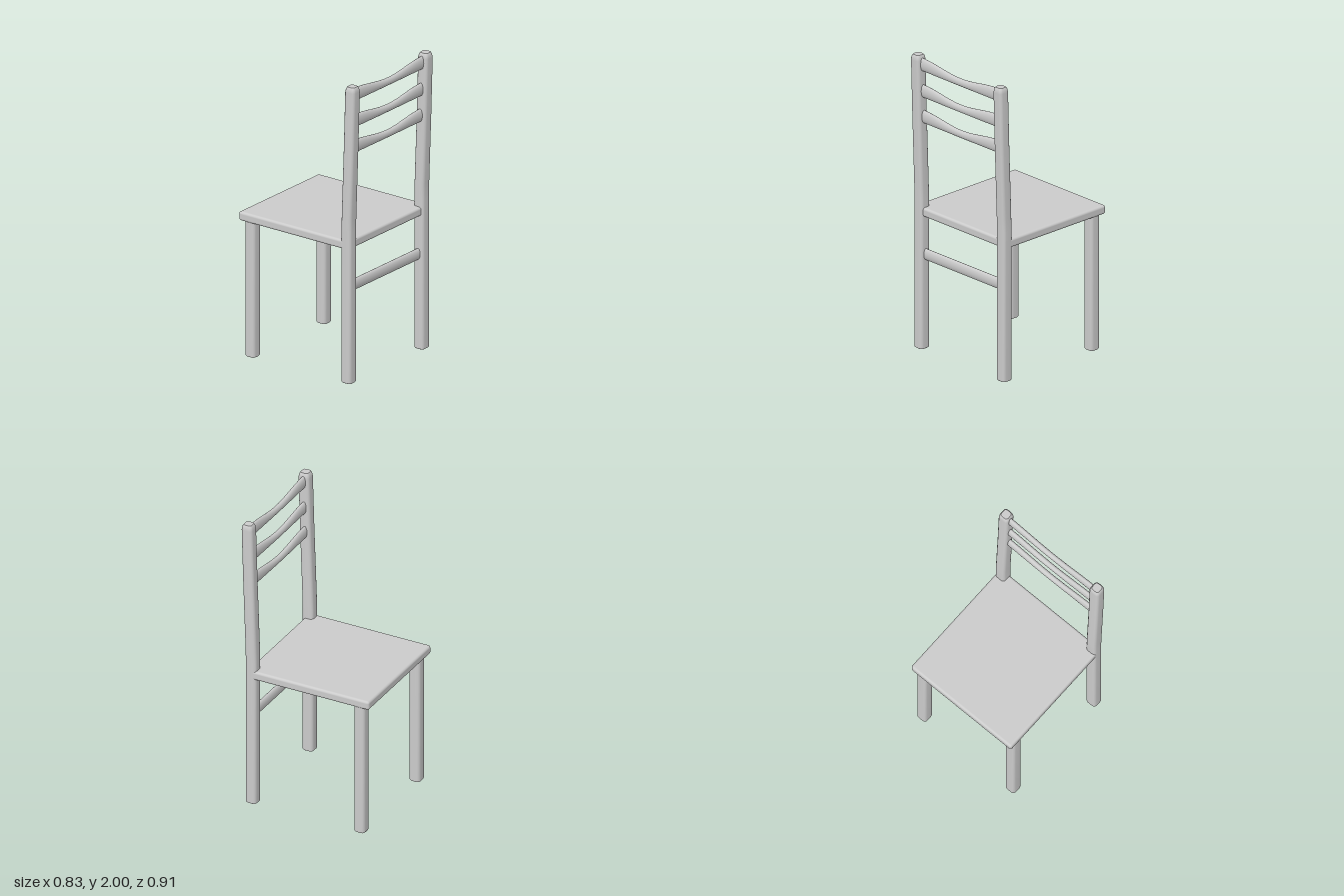
import * as THREE from 'three';
import { RoundedBoxGeometry } from 'three/addons/geometries/RoundedBoxGeometry.js';

// Skin a list of rings (arrays of Vector3) and close both ends with flat caps.
function loft(rings) {
  const n = rings[0].length, pos = [], idx = [];
  const add = (p) => { pos.push(p.x, p.y, p.z); return pos.length / 3 - 1; };
  rings.forEach((ring) => ring.forEach(add));
  for (let r = 0; r < rings.length - 1; r++) {
    for (let i = 0; i < n; i++) {
      const a = r * n + i, b = r * n + (i + 1) % n;
      idx.push(a, b, b + n, a, b + n, a + n);
    }
  }
  for (const [ring, isEnd] of [[rings[0], false], [rings.at(-1), true]]) {
    const mid = new THREE.Vector3();
    ring.forEach((p) => mid.addScaledVector(p, 1 / n));
    const c = add(mid), first = ring.map(add)[0];
    for (let i = 0; i < n; i++) {
      const a = first + i, b = first + (i + 1) % n;
      if (isEnd) idx.push(c, a, b); else idx.push(c, b, a);
    }
  }
  const geo = new THREE.BufferGeometry();
  geo.setAttribute('position', new THREE.Float32BufferAttribute(pos, 3));
  geo.setIndex(idx);
  geo.computeVertexNormals();
  return geo;
}

// Upright of rounded square section; each station is [y, z, width].
function upright(x, stations) {
  return loft(stations.map(([y, z, w]) => {
    const ring = [], r = w * 0.27, k = w / 2 - r;
    for (let q = 0; q < 4; q++) {
      const sx = q === 0 || q === 3 ? 1 : -1, sz = q < 2 ? 1 : -1;
      for (let s = 0; s <= 3; s++) {
        const a = (q + s / 3) * Math.PI / 2;
        ring.push(new THREE.Vector3(x + sx * k + r * Math.cos(a), y, z - sz * k - r * Math.sin(a)));
      }
    }
    return ring;
  }));
}

// Crossbar of oval section, flat along the bottom, its top dipping towards the middle.
function crossbar(bottom, endHeight, midHeight, z, depth) {
  const rings = [], half = 0.35, steps = 24;
  for (let i = 0; i <= steps; i++) {
    const t = i / steps * 2 - 1;
    const dip = 0.5 + 0.5 * Math.cos(Math.PI * t);
    const h = THREE.MathUtils.lerp(endHeight, midHeight, dip);
    const ring = [];
    for (let j = 0; j < 20; j++) {
      const a = j / 20 * Math.PI * 2;
      ring.push(new THREE.Vector3(t * half, bottom + h / 2 * (1 + Math.cos(a)), z + depth / 2 * Math.sin(a)));
    }
    rings.push(ring);
  }
  return loft(rings);
}

export function createModel() {
  const chair = new THREE.Group();
  chair.name = 'chair';
  const material = new THREE.MeshStandardMaterial({ color: 0xcccccc });
  const add = (name, geo) => {
    const mesh = new THREE.Mesh(geo, material);
    mesh.name = name;
    chair.add(mesh);
    return mesh;
  };

  // Seat board
  add('seat', new RoundedBoxGeometry(0.826, 0.06, 0.865, 3, 0.016)).position.set(0, 0.935, -0.0225);

  // Back posts lean above the seat and have chamfered tops
  for (const [side, s] of [['left', 1], ['right', -1]]) {
    add(side + 'BackPost', upright(s * 0.375, [
      [0.008, 0.387, 0.066], [0.014, 0.387, 0.077], [1.02, 0.387, 0.077],
      [1.12, 0.389, 0.077], [1.6, 0.406, 0.077], [1.965, 0.4165, 0.077],
      [1.988, 0.417, 0.069], [2, 0.417, 0.054],
    ]));
    add(side + 'FrontLeg', upright(s * 0.365, [
      [0, -0.378, 0.066], [0.008, -0.378, 0.077], [0.92, -0.378, 0.077],
    ]));
  }

  // Three dipped back rails and the straight lower stretcher
  [[1.895, 0.415], [1.715, 0.41], [1.54, 0.404]].forEach(([y, z], i) => {
    add('backRail' + (i + 1), crossbar(y, 0.086, 0.05, z, 0.036));
  });
  add('lowerStretcher', crossbar(0.61, 0.075, 0.075, 0.387, 0.036));

  return chair;
}
